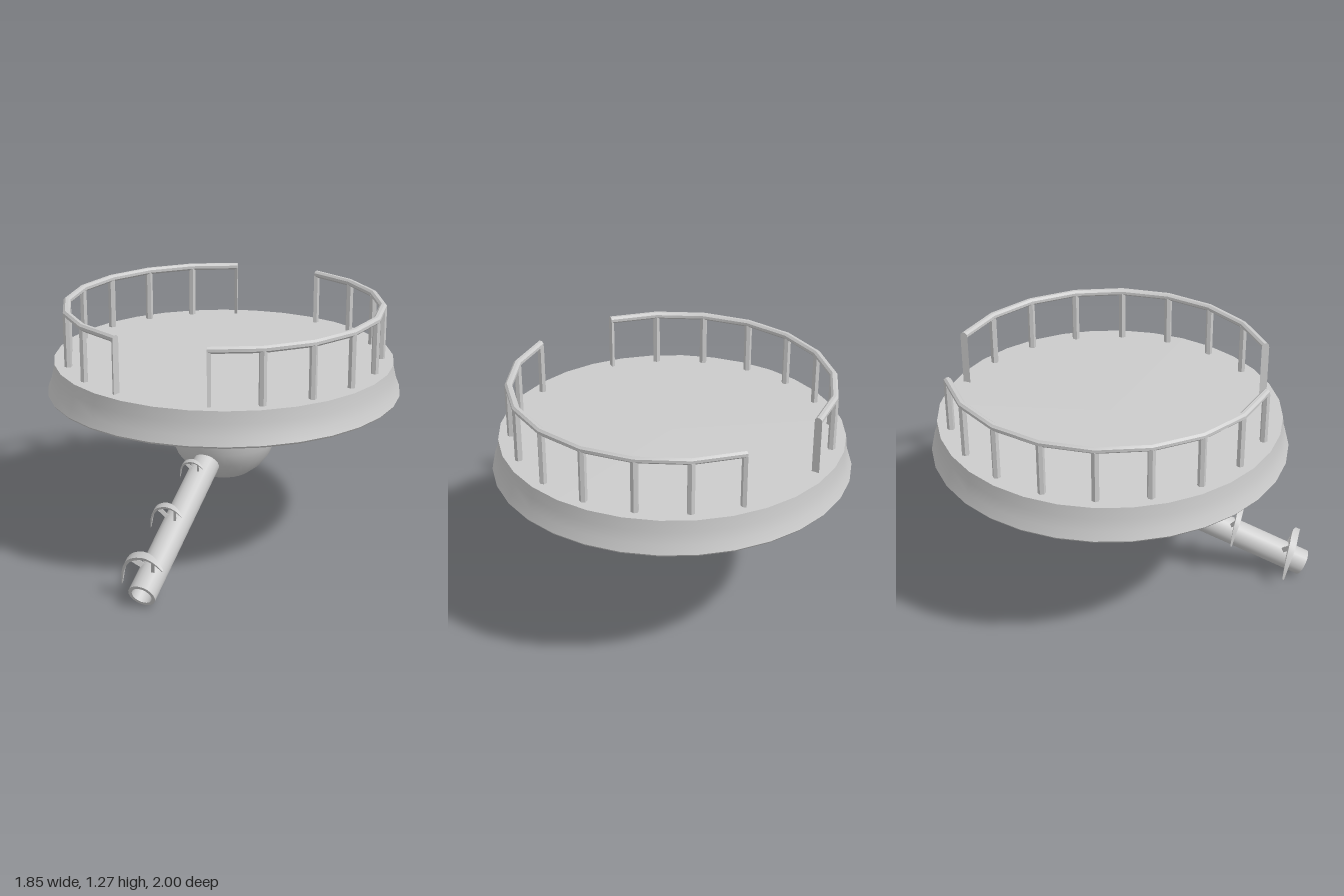
import * as THREE from 'three';
import { toCreasedNormals } from 'three/addons/utils/BufferGeometryUtils.js';

const V = (x, y, z) => new THREE.Vector3(x, y, z);
const material = new THREE.MeshStandardMaterial({ color: 0xcccccc, side: THREE.DoubleSide });

function add(parent, name, geometry, crease = 0.6) {
  const mesh = new THREE.Mesh(toCreasedNormals(geometry, crease), material);
  mesh.name = name;
  parent.add(mesh);
  return mesh;
}

const lathe = (profile, sides = 32) =>
  new THREE.LatheGeometry(profile.map(([r, y]) => new THREE.Vector2(r, y)), sides);

// Skin a row of closed cross-sections and cap both ends
function loft(rings) {
  const n = rings[0].length, last = (rings.length - 1) * n, index = [];
  for (let i = 0; i < rings.length - 1; i++) {
    for (let j = 0; j < n; j++) {
      const a = i * n + j, b = i * n + (j + 1) % n;
      index.push(a, b, a + n, b, b + n, a + n);
    }
  }
  for (let j = 1; j < n - 1; j++) index.push(0, j + 1, j, last, last + j, last + j + 1);
  const geometry = new THREE.BufferGeometry().setFromPoints(rings.flat());
  geometry.setIndex(index);
  geometry.computeVertexNormals();
  return geometry;
}

// Handrail on nine posts, centred on the given heading
function railing(heading) {
  const group = new THREE.Group();
  const R = 0.82, step = THREE.MathUtils.degToRad(18.3), rings = [];
  for (let i = -4; i <= 4; i++) {
    const a = heading + i * step, c = Math.cos(a), s = Math.sin(a);
    const ring = [];
    for (let k = 0; k < 8; k++) {
      const t = (k + 0.5) * Math.PI / 4;
      const r = R + 0.02 * Math.cos(t);
      ring.push(V(r * c, 1.257 + 0.019 * Math.sin(t), r * s));
    }
    rings.push(ring);
    // End posts are cut in half, flush with the rail ends
    const end = Math.abs(i) === 4;
    const post = add(group, 'railPost', new THREE.CylinderGeometry(
      0.02, 0.02, 0.28, end ? 3 : 6, 1, false, 0, end ? Math.PI : Math.PI * 2));
    post.position.set(R * c, 1.11, R * s);
    // Half-post bulges along its local +x, turned back toward the run
    post.rotation.y = -a + (i > 0 ? Math.PI / 2 : -Math.PI / 2);
    if (end) {
      const face = add(group, 'railPostFace', new THREE.PlaneGeometry(0.04, 0.28));
      face.position.copy(post.position);
      face.rotation.y = -a;
    }
  }
  add(group, 'handrail', loft(rings));
  return group;
}

const TILT = THREE.MathUtils.degToRad(26);
const AXIS = V(0, -Math.sin(TILT), Math.cos(TILT));
const MUZZLE = V(0, 0.064, 0.969);

// Curved claw over the barrel, tapered at both tips, on two struts
function claw(top, scale) {
  const group = new THREE.Group();
  group.name = 'barrelClaw';
  const curve = new THREE.CatmullRomCurve3([
    V(0.105, -0.045, 0.03), V(0.06, -0.015, 0.015), V(0, 0, 0),
    V(-0.08, -0.025, -0.015), V(-0.13, -0.09, -0.035), V(-0.155, -0.195, -0.055),
  ].map(p => p.multiplyScalar(scale).add(top)));
  const rings = [];
  for (let i = 0; i <= 14; i++) {
    const t = i / 14, p = curve.getPoint(t);
    const v = curve.getTangent(t).cross(AXIS).normalize();
    const size = scale * (0.25 + 0.75 * Math.sin(Math.PI * t));
    rings.push([[1, 1], [-1, 1], [-1, -1], [1, -1]].map(([a, b]) => p.clone()
      .addScaledVector(AXIS, a * 0.02 * size).addScaledVector(v, b * 0.009 * size)));
  }
  add(group, 'clawArc', loft(rings));
  for (const t of [0.25, 0.62]) {
    const from = curve.getPoint(t);
    const z = from.z - 0.045 * scale;
    const axisY = MUZZLE.y + (MUZZLE.z - z) * Math.tan(TILT);
    const to = V(from.x * 0.45, axisY + 0.05, z);
    const strut = add(group, 'clawStrut',
      new THREE.BoxGeometry(0.016 * scale, 0.026 * scale, from.distanceTo(to)));
    strut.position.copy(from).lerp(to, 0.5);
    strut.lookAt(to);
  }
  return group;
}

export function createModel() {
  const model = new THREE.Group();
  model.name = 'gunPlatform';
  const platform = new THREE.Group();
  platform.name = 'platform';
  platform.position.z = -0.075;
  model.add(platform);

  // Round deck with a flared skirt
  add(platform, 'deck', lathe([
    [0, 0.81], [0.918, 0.805], [0.925, 0.815], [0.907, 0.86],
    [0.893, 0.92], [0.887, 0.98], [0, 0.98],
  ]));

  // Railings on both sides, open at front and back
  for (const [name, heading] of [['leftRailing', 0], ['rightRailing', Math.PI]]) {
    const rail = railing(heading);
    rail.name = name;
    platform.add(rail);
  }

  // Tapered radial ribs under the deck
  const ribShape = new THREE.Shape([[-0.07, 0.36], [0.07, 0.36], [0.025, 0.78], [-0.025, 0.78]]
    .map(([x, y]) => new THREE.Vector2(x, y)));
  for (let i = 0; i < 6; i++) {
    const rib = add(platform, 'undersideRib', new THREE.ExtrudeGeometry(ribShape,
      { depth: 0.014, bevelEnabled: false }).rotateX(Math.PI / 2));
    rib.position.y = 0.812;
    rib.rotation.y = i * Math.PI / 3;
  }

  // Conical collar and domed turret
  add(platform, 'collar', lathe([[0, 0.625], [0.318, 0.625], [0.4, 0.81]]));
  const dome = [];
  for (let i = 0; i <= 6; i++) {
    const a = i / 6 * Math.PI / 2;
    dome.push([0.285 * Math.sin(a), 0.59 - 0.285 * Math.cos(a)]);
  }
  add(platform, 'turretDome', lathe([...dome, [0.285, 0.63]]));

  // Hollow barrel pointing forward and down
  const length = 0.95;
  const barrel = add(model, 'barrel', lathe([
    [0, 0], [0.07, 0], [0.07, length], [0.052, length], [0.05, length - 0.12], [0, length - 0.12],
  ], 20));
  barrel.position.copy(MUZZLE).addScaledVector(AXIS, -length);
  barrel.rotation.x = Math.PI / 2 + TILT;

  // Claws shrink toward the turret
  model.add(claw(V(0, 0.252, 0.92), 1), claw(V(-0.01, 0.393, 0.62), 0.77), claw(V(-0.01, 0.518, 0.31), 0.58));
  return model;
}
